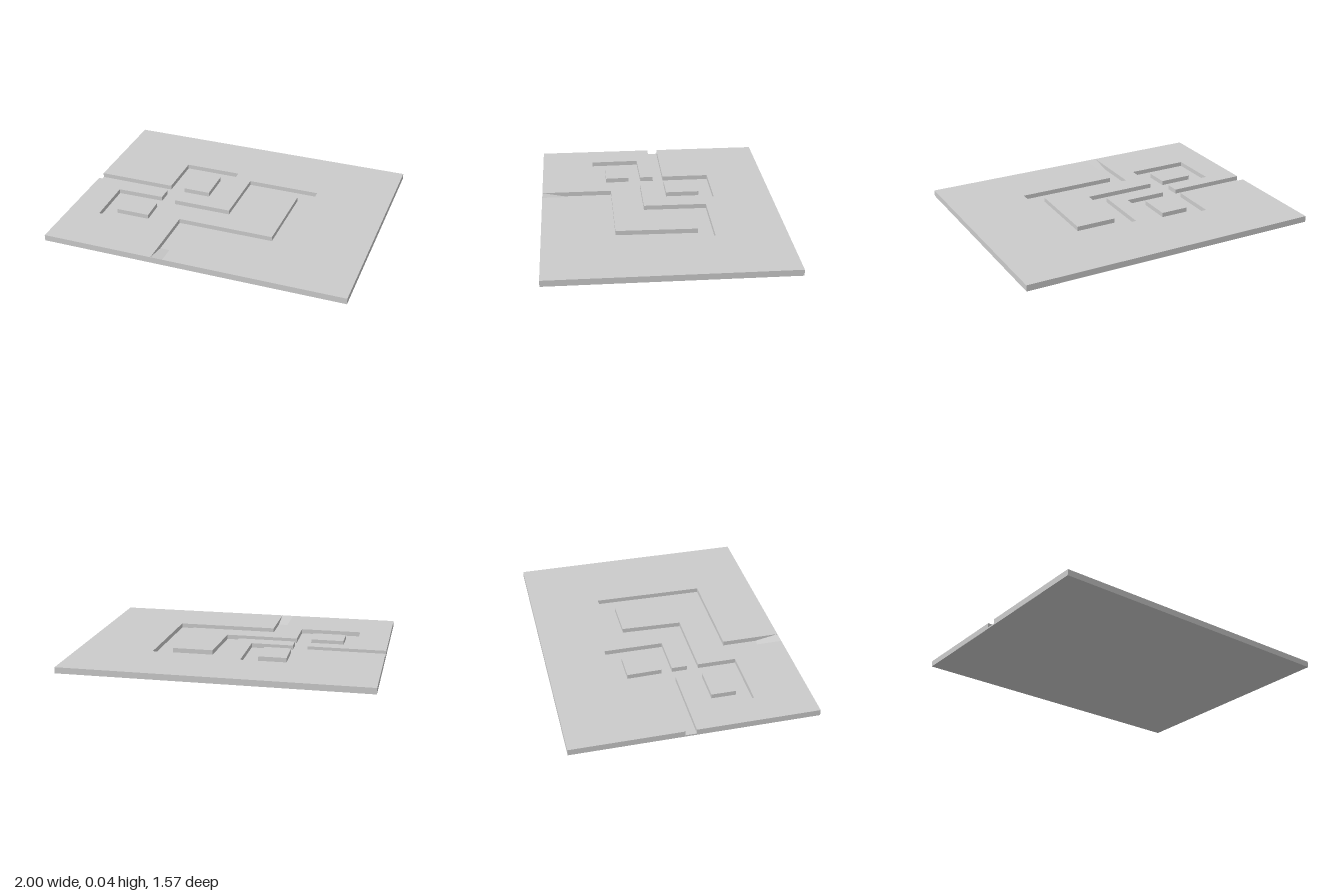
import * as THREE from 'three';

const HALF_X = 1, HALF_Z = 0.785;
const HEIGHT = 0.04, FLOOR = 0.01;

// Outlines are given as [x, z] seen from above.
const backOutline = [
  [-1, -0.07], [-0.48, -0.07], [-0.48, -0.39], [-0.1, -0.39], [-0.1, 0], [-0.38, 0],
  [-0.38, 0.1], [0.01, 0.1], [0.015, -0.32], [0.5, -0.32], [0.49, 0.405], [-0.18, 0.405],
  [-0.18, HALF_Z], [HALF_X, HALF_Z], [HALF_X, -HALF_Z], [-HALF_X, -HALF_Z],
];
const frontOutline = [
  [-1, 0], [-0.48, 0], [-0.48, 0.09], [-0.795, 0.095], [-0.79, 0.425], [-0.38, 0.425],
  [-0.38, 0.175], [0.105, 0.175], [0.12, -0.22], [0.39, -0.22], [0.38, 0.31], [-0.26, 0.31],
  [-0.26, HALF_Z], [-HALF_X, HALF_Z],
];
const backIslandOutline = [[-0.385, -0.295], [-0.2, -0.295], [-0.2, -0.07], [-0.38, -0.07]];
const frontIslandOutline = [[-0.7, 0.175], [-0.48, 0.175], [-0.475, 0.335], [-0.7, 0.335]];

export function createModel() {
  const model = new THREE.Group();
  model.name = 'groovedPlate';
  const material = new THREE.MeshStandardMaterial({ color: 0xcccccc, flatShading: true });

  const add = (name, geometry) => {
    const mesh = new THREE.Mesh(geometry, material);
    mesh.name = name;
    model.add(mesh);
    return mesh;
  };

  // Raised area standing on the channel floor
  const addRaised = (name, outline) => {
    const shape = new THREE.Shape(outline.map(([x, z]) => new THREE.Vector2(x, -z)));
    const geometry = new THREE.ExtrudeGeometry(shape, { depth: HEIGHT - FLOOR, bevelEnabled: false });
    geometry.rotateX(-Math.PI / 2);
    add(name, geometry).position.y = FLOOR;
  };

  // Base slab whose top is the channel floor
  add('channelFloor', new THREE.BoxGeometry(2 * HALF_X, FLOOR, 2 * HALF_Z)).position.y = FLOOR / 2;

  // Surface on both sides of the winding channel, and the islands inside its loops
  addRaised('backSurface', backOutline);
  addRaised('frontSurface', frontOutline);
  addRaised('backIsland', backIslandOutline);
  addRaised('frontIsland', frontIslandOutline);

  // Ramp rising from the channel floor to the front edge
  const wedge = new THREE.Shape([
    new THREE.Vector2(0.63, FLOOR),
    new THREE.Vector2(HALF_Z, FLOOR),
    new THREE.Vector2(HALF_Z, HEIGHT),
  ]);
  const rampGeometry = new THREE.ExtrudeGeometry(wedge, { depth: 0.08, bevelEnabled: false });
  rampGeometry.rotateY(-Math.PI / 2);
  add('exitRamp', rampGeometry).position.x = -0.18;

  return model;
}
